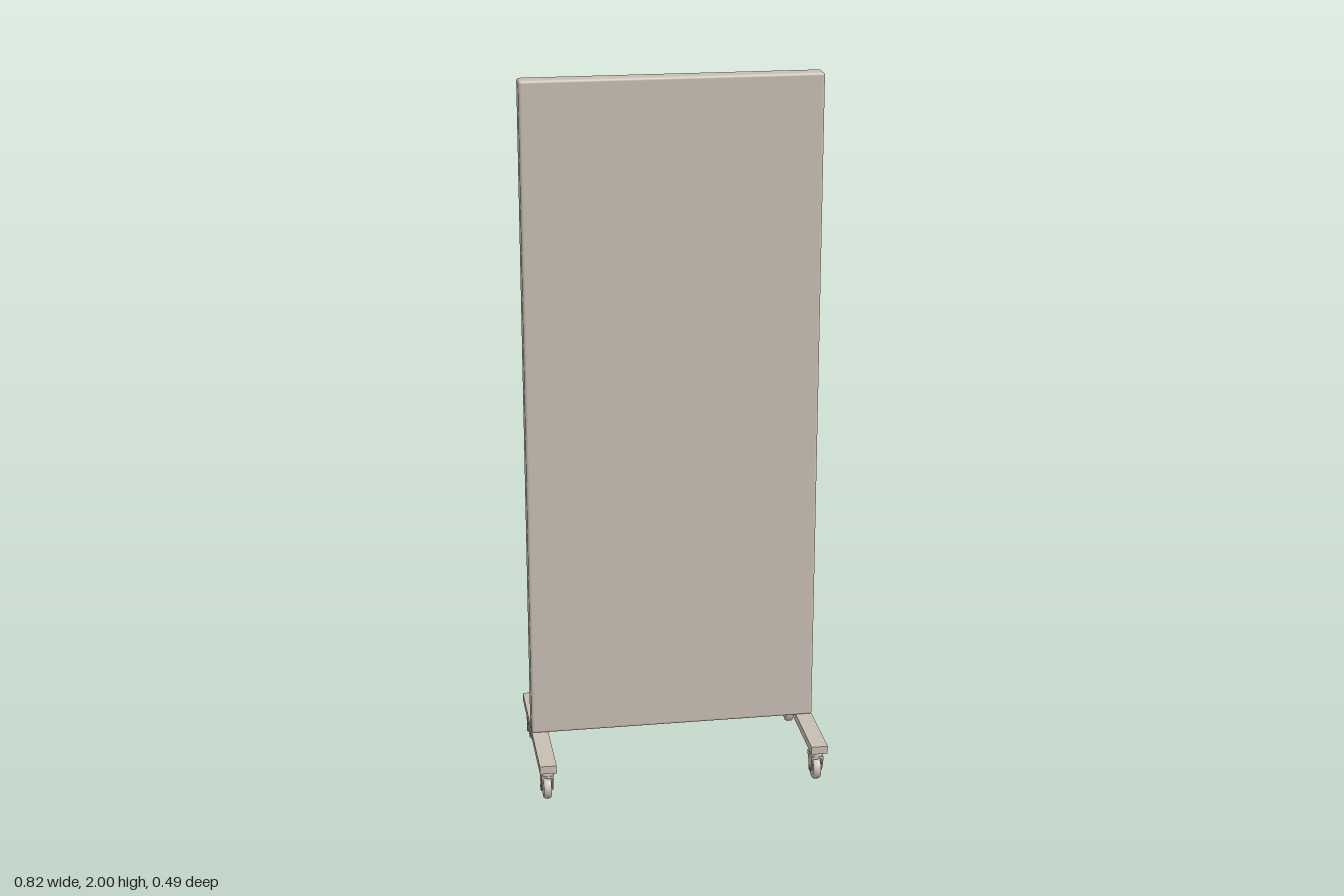
import * as THREE from 'three';
import { RoundedBoxGeometry } from 'three/addons/geometries/RoundedBoxGeometry.js';

export function createModel() {
  const model = new THREE.Group();
  model.name = 'mobilePartition';
  const beige = new THREE.MeshStandardMaterial({ color: 0xc8beb3 });
  beige.name = 'warmGrey';

  const add = (parent, name, geometry, x, y, z) => {
    const mesh = new THREE.Mesh(geometry, beige);
    mesh.name = name;
    mesh.position.set(x, y, z);
    parent.add(mesh);
    return mesh;
  };

  // Tall padded board with softened edges
  add(model, 'panel', new RoundedBoxGeometry(0.82, 1.88, 0.056, 3, 0.008), 0, 1.06, -0.001);

  // Fork cheek: wide at the swivel, narrowing to the axle (drawn in z, y)
  const cheekShape = new THREE.Shape();
  cheekShape.moveTo(-0.026, 0.076);
  cheekShape.lineTo(0.028, 0.076);
  cheekShape.quadraticCurveTo(0.026, 0.05, 0.009, 0.028);
  cheekShape.quadraticCurveTo(0, 0.018, -0.009, 0.028);
  cheekShape.quadraticCurveTo(-0.012, 0.05, -0.026, 0.066);
  cheekShape.closePath();
  const cheekGeometry = new THREE.ExtrudeGeometry(cheekShape, { depth: 0.004, bevelEnabled: false, curveSegments: 6 });
  cheekGeometry.translate(0, 0, -0.002).rotateY(-Math.PI / 2);

  // Wheel profile, turned about the axle
  const profile = [[0.007, -0.009], [0.021, -0.009], [0.023, -0.011], [0.029, -0.011], [0.033, -0.007],
    [0.033, 0.007], [0.029, 0.011], [0.023, 0.011], [0.021, 0.009], [0.007, 0.009]];
  const wheelGeometry = new THREE.LatheGeometry(profile.map(([r, h]) => new THREE.Vector2(r, h)), 24);
  wheelGeometry.rotateZ(Math.PI / 2);
  const axleGeometry = new THREE.CylinderGeometry(0.008, 0.008, 0.036, 12).rotateZ(Math.PI / 2);

  const makeCaster = (x, z) => {
    const caster = new THREE.Group();
    caster.name = 'caster';
    caster.position.set(x, 0, z);
    add(caster, 'mountPlate', new THREE.BoxGeometry(0.04, 0.006, 0.055), 0, 0.098, 0.008);
    add(caster, 'swivel', new THREE.CylinderGeometry(0.017, 0.02, 0.02, 16), 0, 0.086, 0.008);
    add(caster, 'forkCrown', new THREE.BoxGeometry(0.034, 0.007, 0.054), 0, 0.0755, 0.001);
    for (const side of [-1, 1]) add(caster, 'forkCheek', cheekGeometry, side * 0.015, 0, 0);
    add(caster, 'wheel', wheelGeometry, 0, 0.034, 0);
    add(caster, 'axle', axleGeometry, 0, 0.034, 0);
    model.add(caster);
  };

  // Two floor rails, each carried by a pair of casters
  for (const side of [-1, 1]) {
    add(model, 'footRail', new THREE.BoxGeometry(0.047, 0.023, 0.486), side * 0.386, 0.111, -0.002);
    for (const end of [-1, 1]) makeCaster(side * 0.386, end * 0.19);
  }

  return model;
}
